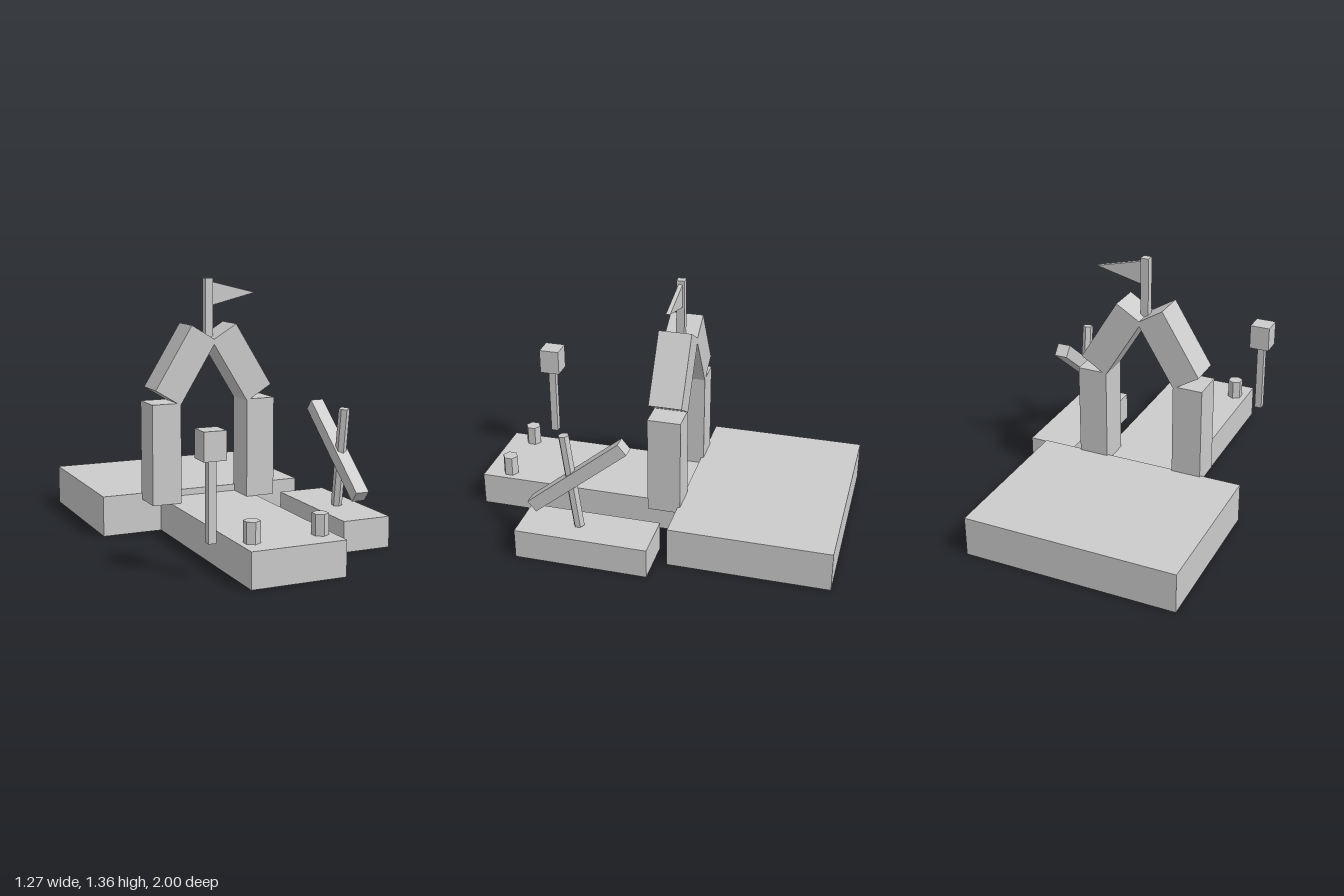
import * as THREE from 'three';

export function createModel() {
  const group = new THREE.Group();
  const material = new THREE.MeshStandardMaterial({ color: 0xcccccc, flatShading: true });

  const add = (name, geometry, x, y, z) => {
    const mesh = new THREE.Mesh(geometry, material);
    mesh.name = name;
    mesh.position.set(x, y, z);
    group.add(mesh);
    return mesh;
  };
  // Box given by its extents on each axis
  const block = (name, [x0, x1], [y0, y1], [z0, z1]) =>
    add(name, new THREE.BoxGeometry(x1 - x0, y1 - y0, z1 - z0),
      (x0 + x1) / 2, (y0 + y1) / 2, (z0 + z1) / 2);

  // Ground slabs
  block('backPlatform', [-0.64, 0.5], [0, 0.215], [-1, -0.145]);
  block('walkway', [-0.315, 0.18], [0, 0.18], [-0.145, 1]);
  block('sidePlatform', [0.37, 0.635], [0, 0.162], [-0.073, 0.64]);

  // Gateway: two pillars and two leaning beams, mirrored about its own centre
  const gateX = -0.07, gateZ = -0.07, depth = 0.176;
  for (const [side, label] of [[-1, 'right'], [1, 'left']]) {
    add(label + 'Pillar', new THREE.BoxGeometry(0.16, 0.535, depth),
      gateX + side * 0.27, 0.4475, gateZ);
    const beam = add(label + 'Beam', new THREE.BoxGeometry(0.162, 0.39, depth),
      gateX + side * 0.159, 0.912, gateZ);
    beam.rotation.z = side * 0.55;
  }

  // Flag on top of the gateway
  add('flagpole', new THREE.BoxGeometry(0.043, 0.32, 0.043), gateX, 1.2, gateZ);
  const pennant = new THREE.Shape([
    new THREE.Vector2(0, -0.062), new THREE.Vector2(0.25, 0), new THREE.Vector2(0, 0.062),
  ]);
  add('flag', new THREE.ExtrudeGeometry(pennant, { depth: 0.022, bevelEnabled: false }),
    -0.05, 1.278, gateZ - 0.011);

  // Lamp beside the walkway
  add('lampPost', new THREE.BoxGeometry(0.04, 0.4, 0.04), -0.424, 0.38, 0.79);
  add('lampHead', new THREE.BoxGeometry(0.113, 0.14, 0.113), -0.424, 0.645, 0.79);

  // Hexagonal bollards at the walkway's end
  for (const x of [-0.247, 0.112]) {
    add('bollard', new THREE.CylinderGeometry(0.042, 0.042, 0.106, 6), x, 0.233, 0.86);
  }

  // Tilted arm resting on a leaning hexagonal stake
  const stake = add('stake', new THREE.CylinderGeometry(0.029, 0.029, 0.53, 6), 0.502, 0.43, 0.36);
  stake.rotation.x = 0.126;
  const arm = add('tiltedArm', new THREE.BoxGeometry(0.073, 0.07, 0.645), 0.502, 0.467, 0.324);
  arm.rotation.x = 0.691;

  return group;
}
